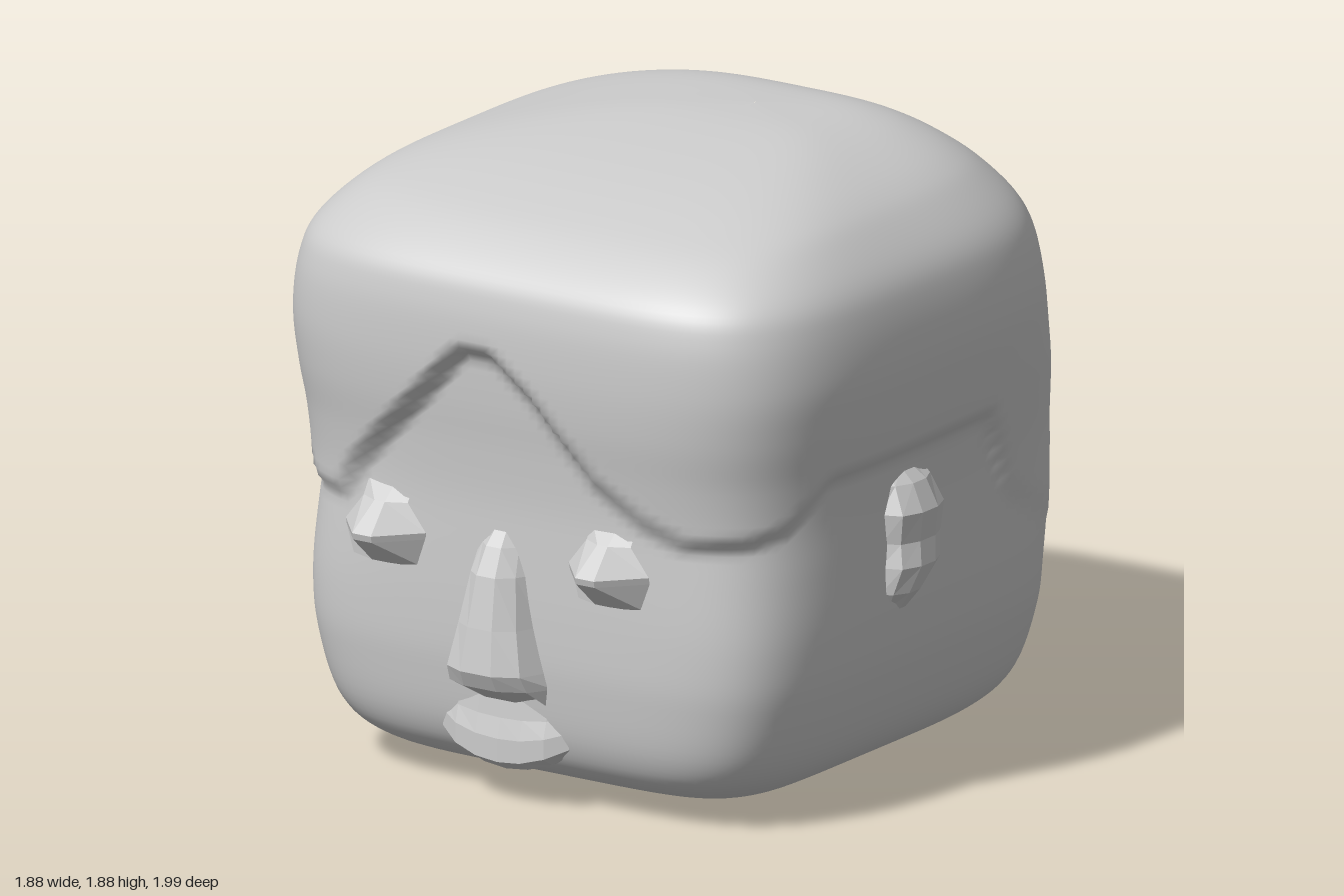
import * as THREE from 'three';

const { smoothstep, mapLinear, lerp } = THREE.MathUtils;
const smooth = new THREE.MeshStandardMaterial({ color: 0xcccccc });
const faceted = new THREE.MeshStandardMaterial({ color: 0xcccccc, flatShading: true, side: THREE.DoubleSide });

// Horizontal sections of the skull: y, half width, front z, back z
const ROWS = [
  [0, 0, 0.02, 0.02],
  [0.008, 0.36, 0.36, -0.31],
  [0.04, 0.58, 0.62, -0.53],
  [0.1, 0.71, 0.77, -0.68],
  [0.2, 0.795, 0.84, -0.75],
  [0.38, 0.85, 0.87, -0.785],
  [0.55, 0.87, 0.88, -0.8],
  [0.75, 0.88, 0.89, -0.88],
  [0.9, 0.89, 0.9, -0.95],
  [1.05, 0.91, 0.92, -0.995],
  [1.2, 0.93, 0.942, -0.965],
  [1.35, 0.94, 0.95, -0.92],
  [1.5, 0.92, 0.94, -0.86],
  [1.6, 0.88, 0.9, -0.795],
  [1.7, 0.79, 0.77, -0.7],
  [1.76, 0.7, 0.61, -0.625],
  [1.81, 0.57, 0.41, -0.55],
  [1.85, 0.41, 0.18, -0.46],
  [1.873, 0.24, -0.01, -0.35],
  [1.88, 0, -0.17, -0.18],
];

// Hairline height by angle around the head: the parted fringe, then sides and nape (mirrored)
const FRINGE = [[-50, 0.92], [-44, 0.84], [-36, 0.84], [-33, 0.93], [-10, 1.36], [-3, 1.36],
  [6, 1.25], [18, 1.03], [27, 0.93], [34, 0.88], [44, 0.89], [50, 0.92]];
const NAPE = [[50, 0.92], [58, 1.05], [104, 1.06], [108, 0.96], [114, 0.8], [122, 0.72], [140, 0.55], [180, 0.53]];

function hairline(deg) {
  const back = Math.abs(deg) > 50;
  const table = back ? NAPE : FRINGE, d = back ? Math.abs(deg) : deg;
  const i = Math.max(1, table.findIndex((p) => p[0] >= d - 1e-6));
  const [a, b] = [table[i - 1], table[i]];
  return mapLinear(d, a[0], b[0], a[1], b[1]);
}

// Catmull-Rom through the section table
function sectionAt(t) {
  const last = ROWS.length - 1;
  const i = Math.min(Math.floor(t), last - 1), f = t - i;
  const [p, a, b, n] = [ROWS[Math.max(i - 1, 0)], ROWS[i], ROWS[i + 1], ROWS[Math.min(i + 2, last)]];
  return a.map((v, k) => {
    const m0 = (b[k] - p[k]) / 2, m1 = (n[k] - v) / 2, d = b[k] - v;
    return v + f * (m0 + f * (3 * d - 2 * m0 - m1 + f * (m0 + m1 - 2 * d)));
  });
}

// One continuous skull surface, split at the hairline into face and hair
function buildSkull(group) {
  const around = 200, per = 6, rings = (ROWS.length - 1) * per;
  const pos = [], hairy = [];
  for (let j = 0; j <= rings; j++) {
    const [y, hx, zf, zb] = sectionAt(j / per);
    const cx = 0.12 * Math.pow(Math.max(y - 1.6, 0) / 0.28, 4); // crown leans to the left
    const inset = smoothstep(y, 0.4, 1.3);
    const bulge = 0.07 * smoothstep(y, 0.5, 1.05) * (1 - smoothstep(y, 1.25, 1.7)); // middle of the back
    const upper = smoothstep(y, 0.5, 1.1);
    for (let i = 0; i < around; i++) {
      const ang = (i / around) * Math.PI * 2, s = Math.sin(ang), c = Math.cos(ang);
      const line = hairline(Math.atan2(s, c) * 180 / Math.PI);
      const h = smoothstep(y, line - 0.025, line + 0.025), skin = inset * (1 - h);
      const w = Math.max(hx - 0.045 * skin, 0.001);
      const f = zf - 0.06 * skin, b = zb + bulge;
      const d = Math.max((f - b) / 2, 0.001);
      const n = lerp(5.5, c > 0 ? 4.4 : 3.4, upper);
      const r = Math.pow(Math.pow(Math.abs(s) / w, n) + Math.pow(Math.abs(c) / d, n), -1 / n);
      const swell = c < 0 ? bulge * Math.exp(-((r * s / 0.38) ** 2)) : 0;
      pos.push(cx + r * s, Math.max(y, 0), (f + b) / 2 + r * c - swell);
      hairy.push(h > 0.3);
    }
  }
  const face = [], hair = [];
  for (let j = 0; j < rings; j++) {
    for (let i = 0; i < around; i++) {
      const a = j * around + i, b = j * around + (i + 1) % around;
      const c = a + around, d = b + around;
      (hairy[a] ? hair : face).push(a, b, d, a, d, c);
    }
  }
  const whole = new THREE.BufferGeometry();
  whole.setAttribute('position', new THREE.Float32BufferAttribute(pos, 3));
  whole.setIndex([...face, ...hair]);
  whole.computeVertexNormals();
  for (const [name, index] of [['face', face], ['hair', hair]]) {
    const geo = whole.clone();
    geo.setIndex(index);
    const mesh = new THREE.Mesh(geo, smooth);
    mesh.name = name;
    group.add(mesh);
  }
}

// Faceted skin over a list of equal-length sections of [x, y, z] points
function loft(name, sections) {
  const m = sections[0].length, index = [];
  for (let j = 0; j < sections.length - 1; j++) {
    for (let i = 0; i < m - 1; i++) {
      const a = j * m + i, c = a + m;
      index.push(a, a + 1, c + 1, a, c + 1, c);
    }
  }
  const geo = new THREE.BufferGeometry();
  geo.setAttribute('position', new THREE.Float32BufferAttribute(sections.flat(2), 3));
  geo.setIndex(index);
  geo.computeVertexNormals();
  const mesh = new THREE.Mesh(geo, faceted);
  mesh.name = name;
  return mesh;
}

// Closed eyelid: a wedge with a wide, level lower edge
function eye(name, cx) {
  return loft(name, [[-0.14, 0.87], [-0.035, 0.99], [0.03, 0.99], [0.14, 0.87]].map(([dx, tip]) => {
    const x = cx + dx, low = cx + dx * 0.8, top = cx + dx * 0.55;
    return [[top, 0.9, 0.84], [top, 0.85, Math.min(tip, 0.9)], [x, 0.77, tip], [x, 0.75, tip - 0.005],
      [low, 0.67, Math.min(tip, 0.9)], [low, 0.65, 0.83]];
  }));
}

// Nose sections: y, half width, ridge z
function nose() {
  const rows = [[0.83, 0.06, 0.86], [0.78, 0.08, 0.9], [0.7, 0.1, 0.94], [0.55, 0.13, 0.97],
    [0.42, 0.165, 0.99], [0.37, 0.175, 0.965], [0.31, 0.16, 0.86]];
  return loft('nose', rows.map(([y, w, z]) => [[-1, 0.85], [-0.75, z - 0.03], [-0.35, z],
    [0.3, z], [0.75, z - 0.04], [1, 0.85]].map(([u, pz]) => [-0.05 + u * w, y, pz])));
}

// Curved lips, corners turned up, rising to the nose
function mouth() {
  return loft('mouth', [-1, -0.7, -0.35, 0, 0.35, 0.7, 1].map((u) => {
    const y = 0.17 + 0.05 * u * u, back = 0.045 * u ** 4;
    return [[0.18, 0.86], [0.09, 0.87], [0.03, 0.885], [-0.04, 0.885], [-0.07, 0.84], [-0.08, 0.76]]
      .map(([dy, z]) => [-0.05 + 0.22 * u, y + dy * (1 - 0.3 * u * u), z - back]);
  }));
}

// Two-lobed ear sections: y, centre z, half depth, outer x
function ear(name, side) {
  const rows = [[0.99, 0.13, 0.08, 0.86], [0.95, 0.12, 0.11, 0.9], [0.87, 0.12, 0.13, 0.938],
    [0.78, 0.115, 0.125, 0.925], [0.71, 0.13, 0.12, 0.938], [0.63, 0.16, 0.09, 0.91], [0.57, 0.16, 0.05, 0.865]];
  return loft(name, rows.map(([y, cz, hz, out]) => [[-1, 0.85], [-0.8, out - 0.025], [-0.3, out],
    [0.3, out], [0.8, out - 0.025], [1, 0.85]].map(([u, x]) => [side * x, y, cz + u * hz])));
}

export function createModel() {
  const group = new THREE.Group();
  group.name = 'head';
  buildSkull(group);
  group.add(eye('rightEye', -0.45), eye('leftEye', 0.33), nose(), mouth(), ear('leftEar', 1), ear('rightEar', -1));
  return group;
}
